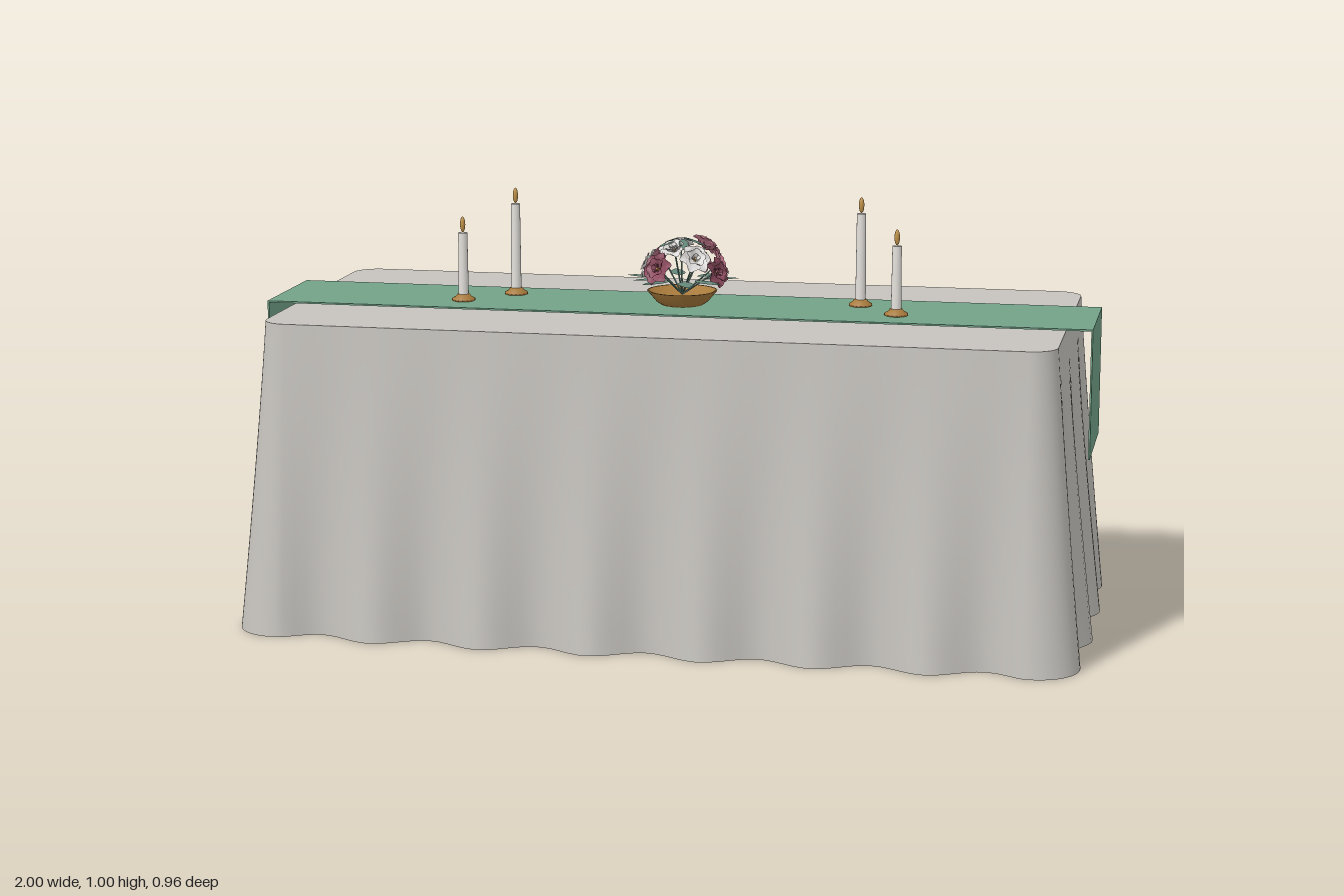
import * as THREE from 'three';
import { mergeGeometries } from 'three/addons/utils/BufferGeometryUtils.js';

const TOP = 0.733;
const RUNNER_TOP = 0.741;
const UP = new THREE.Vector3(0, 1, 0);

function paint(name, color, side = THREE.FrontSide) {
  const m = new THREE.MeshStandardMaterial({ color, side });
  m.name = name;
  return m;
}

function addMesh(parent, name, geometry, material, x = 0, y = 0, z = 0) {
  const mesh = new THREE.Mesh(geometry, material);
  mesh.name = name;
  mesh.position.set(x, y, z);
  parent.add(mesh);
  return mesh;
}

// Rounded rectangle outline: position, outward normal and arc length of each sample
function tableOutline(hx, hz, r) {
  const pts = [];
  const signs = [[1, 1], [-1, 1], [-1, -1], [1, -1]];
  const centre = (k) => [signs[k % 4][0] * (hx - r), signs[k % 4][1] * (hz - r)];
  for (let k = 0; k < 4; k++) {
    const [cx, cz] = centre(k);
    const [ex, ez] = centre(k + 1);
    for (let i = 0; i <= 12; i++) {
      const a = (k + i / 12) * Math.PI / 2;
      const nx = Math.cos(a), nz = Math.sin(a);
      pts.push({ x: cx + r * nx, z: cz + r * nz, nx, nz });
    }
    const last = pts[pts.length - 1];
    const n = k % 2 ? 28 : 70;
    for (let i = 1; i < n; i++) {
      pts.push({ ...last, x: last.x + (ex - cx) * i / n, z: last.z + (ez - cz) * i / n });
    }
  }
  let s = 0;
  pts.forEach((p, i) => {
    if (i) s += Math.hypot(p.x - pts[i - 1].x, p.z - pts[i - 1].z);
    p.s = s;
  });
  const perimeter = s + Math.hypot(p0(pts).x - pts.at(-1).x, p0(pts).z - pts.at(-1).z);
  return { pts, perimeter, cornerMid: r * Math.PI / 4 };
}
const p0 = (list) => list[0];

// Flared skirt whose folds deepen toward the hem
function skirtGeometry({ pts, perimeter, cornerMid }) {
  const rows = 14, n = pts.length, pos = [], index = [];
  for (let j = 0; j <= rows; j++) {
    const t = j / rows;
    for (const p of pts) {
      const fold = Math.cos(2 * Math.PI * 20 * (p.s - cornerMid) / perimeter);
      const off = 0.055 * t + 0.025 * Math.pow(t, 1.4) * fold;
      pos.push(p.x + p.nx * off, TOP * (1 - t), p.z + p.nz * off);
    }
  }
  for (let j = 0; j < rows; j++) {
    for (let i = 0; i < n; i++) {
      const a = j * n + i, b = j * n + (i + 1) % n;
      index.push(a, b, a + n, b, b + n, a + n);
    }
  }
  const g = new THREE.BufferGeometry();
  g.setAttribute('position', new THREE.Float32BufferAttribute(pos, 3));
  g.setIndex(index);
  g.computeVertexNormals();
  return g;
}

// Cupped petal growing from the origin, rising with the given tilt
function petalGeometry(length, width, tilt, turn) {
  const g = new THREE.PlaneGeometry(1, 1, 4, 4);
  const p = g.attributes.position;
  for (let i = 0; i < p.count; i++) {
    const u = p.getX(i) * 2, v = p.getY(i) + 0.5;
    const w = width * Math.sin(Math.PI * (0.12 + 0.74 * v));
    const reach = length * (v - 0.08 * u * u * v);
    const lift = length * (0.3 * u * u * v + 0.25 * Math.sin(Math.PI * v));
    p.setXYZ(i, u * w, reach * Math.sin(tilt) + lift * Math.cos(tilt) * 0.6,
      reach * Math.cos(tilt) - lift * Math.sin(tilt) * 0.6);
  }
  g.rotateY(turn);
  g.computeVertexNormals();
  return g;
}

function blossomGeometry() {
  const petals = [];
  [[0.042, 0.021, 0.2, 6], [0.033, 0.017, 0.65, 5], [0.024, 0.012, 1.1, 4]].forEach(([l, w, tilt, n], k) => {
    for (let i = 0; i < n; i++) petals.push(petalGeometry(l, w, tilt, 2 * Math.PI * i / n + k * 0.5));
  });
  return mergeGeometries(petals);
}

// Pointed leaf lying along +z
function leafGeometry(length, width) {
  const s = new THREE.Shape();
  s.moveTo(0, 0);
  s.quadraticCurveTo(width, length * 0.35, 0, length);
  s.quadraticCurveTo(-width, length * 0.35, 0, 0);
  return new THREE.ShapeGeometry(s, 5).rotateX(-Math.PI / 2).rotateY(Math.PI);
}

export function createModel() {
  const model = new THREE.Group();
  model.name = 'dressedTable';
  const cloth = paint('linen', 0xc6c3be, THREE.DoubleSide);
  const green = paint('runnerGreen', 0x72a288, THREE.DoubleSide);
  const gold = paint('brass', 0xa87a3c);
  const wax = paint('candleWax', 0xe4e1dc);
  const flame = paint('flame', 0xc0924a);
  const pink = paint('rosePink', 0xbd7488, THREE.DoubleSide);
  const mauve = paint('deepRose', 0x8e4c60, THREE.DoubleSide);
  const white = paint('whitePetal', 0xdedcda, THREE.DoubleSide);
  const leafMat = paint('leafGreen', 0x64877a, THREE.DoubleSide);

  // Tablecloth
  const outline = tableOutline(0.922, 0.402, 0.06);
  addMesh(model, 'clothSkirt', skirtGeometry(outline), cloth);
  const topShape = new THREE.Shape(outline.pts.map((p) => new THREE.Vector2(p.x, -p.z)).reverse());
  addMesh(model, 'clothTop', new THREE.ShapeGeometry(topShape).rotateX(-Math.PI / 2), cloth, 0, TOP, 0);

  // Runner with a hanging drop at each end
  addMesh(model, 'runnerTop', new THREE.BoxGeometry(1.97, 0.004, 0.302), green, 0, RUNNER_TOP - 0.002, 0);
  for (const side of [-1, 1]) {
    addMesh(model, 'runnerDrop', new THREE.BoxGeometry(0.004, 0.302, 0.302), green, side * 0.983, 0.588, 0);
  }

  // Candles: a tall and a short one at each end
  const holder = new THREE.LatheGeometry(
    [[0, 0], [0.028, 0], [0.028, 0.005], [0.018, 0.011], [0.015, 0.016], [0, 0.016]]
      .map(([x, y]) => new THREE.Vector2(x, y)), 16);
  for (const [x, z, tip] of [[-0.525, 0.052, 0.905], [-0.423, -0.06, 0.962], [0.42, -0.06, 0.962], [0.52, 0.052, 0.905]]) {
    const candle = new THREE.Group();
    candle.name = 'candle';
    candle.position.set(x, RUNNER_TOP, z);
    const h = tip - RUNNER_TOP;
    addMesh(candle, 'candleHolder', holder, gold);
    addMesh(candle, 'candleStick', new THREE.CylinderGeometry(0.011, 0.0125, h - 0.01, 16), wax, 0, h / 2 + 0.005, 0);
    addMesh(candle, 'candleFlame', new THREE.SphereGeometry(0.0065, 10, 8), flame, 0, h + 0.02, 0).scale.y = 2.9;
    model.add(candle);
  }

  // Flower bowl, open at the top
  const bowl = new THREE.LatheGeometry(
    [[0, 0], [0.05, 0], [0.062, 0.008], [0.084, 0.034], [0.078, 0.034], [0.055, 0.012], [0, 0.012]]
      .map(([x, y]) => new THREE.Vector2(x, y)), 24);
  addMesh(model, 'bowl', bowl, gold, 0, RUNNER_TOP, 0);

  // Blossoms on stems, arranged as a dome
  const bouquet = new THREE.Group();
  bouquet.name = 'bouquet';
  model.add(bouquet);
  const blossom = blossomGeometry();
  const root = new THREE.Vector3(0, 0.765, 0);
  const flowers = [
    [0.075, 0.83, -0.025, pink, 1.1], [0.045, 0.87, -0.045, pink, 0.95], [-0.04, 0.833, 0.07, mauve, 1],
    [0.085, 0.825, 0.04, mauve, 0.9], [-0.07, 0.835, 0.015, white, 0.95], [-0.012, 0.87, 0.03, white, 1],
    [0.04, 0.855, 0.06, white, 0.95], [-0.015, 0.868, -0.06, white, 0.75], [0.02, 0.83, -0.08, mauve, 0.85],
    [-0.055, 0.85, -0.035, pink, 0.75],
  ];
  flowers.forEach(([x, y, z, mat, size], i) => {
    const at = new THREE.Vector3(x, y, z);
    const facing = new THREE.Vector3(x, y - 0.80, z).normalize();
    const flower = new THREE.Group();
    flower.name = 'flower';
    flower.position.copy(at);
    flower.quaternion.setFromUnitVectors(UP, facing);
    flower.scale.setScalar(size);
    addMesh(flower, 'petals', blossom, mat).rotation.y = i * 0.7;
    addMesh(flower, 'flowerCentre', new THREE.SphereGeometry(0.006, 8, 6), flame, 0, 0.008, 0);
    bouquet.add(flower);
    addMesh(bouquet, 'stem', new THREE.TubeGeometry(new THREE.LineCurve3(root, at), 1, 0.002, 5), leafMat);
  });

  // Flat leaves around the rim: tip x, tip z
  for (const [x, z] of [[-0.145, -0.03], [-0.045, -0.14], [0.04, 0.135], [0.135, -0.03], [-0.075, 0.115], [0.09, -0.1], [0.11, 0.08], [-0.11, 0.05]]) {
    const leaf = addMesh(bouquet, 'rimLeaf', leafGeometry(0.1, 0.036), leafMat, x * 0.32, 0.803, z * 0.32);
    leaf.scale.z = Math.hypot(x, z) * 6.8;
    leaf.rotation.y = Math.atan2(x, z);
  }
  // Small leaves tucked between the upper blossoms
  for (let i = 0; i < 5; i++) {
    const a = i * 1.257 + 0.3;
    const leaf = addMesh(bouquet, 'crownLeaf', leafGeometry(0.055, 0.024), leafMat, 0.012 * Math.sin(a), 0.9, 0.012 * Math.cos(a));
    leaf.rotation.set(0.35, a, 0, 'YXZ');
  }
  return model;
}
